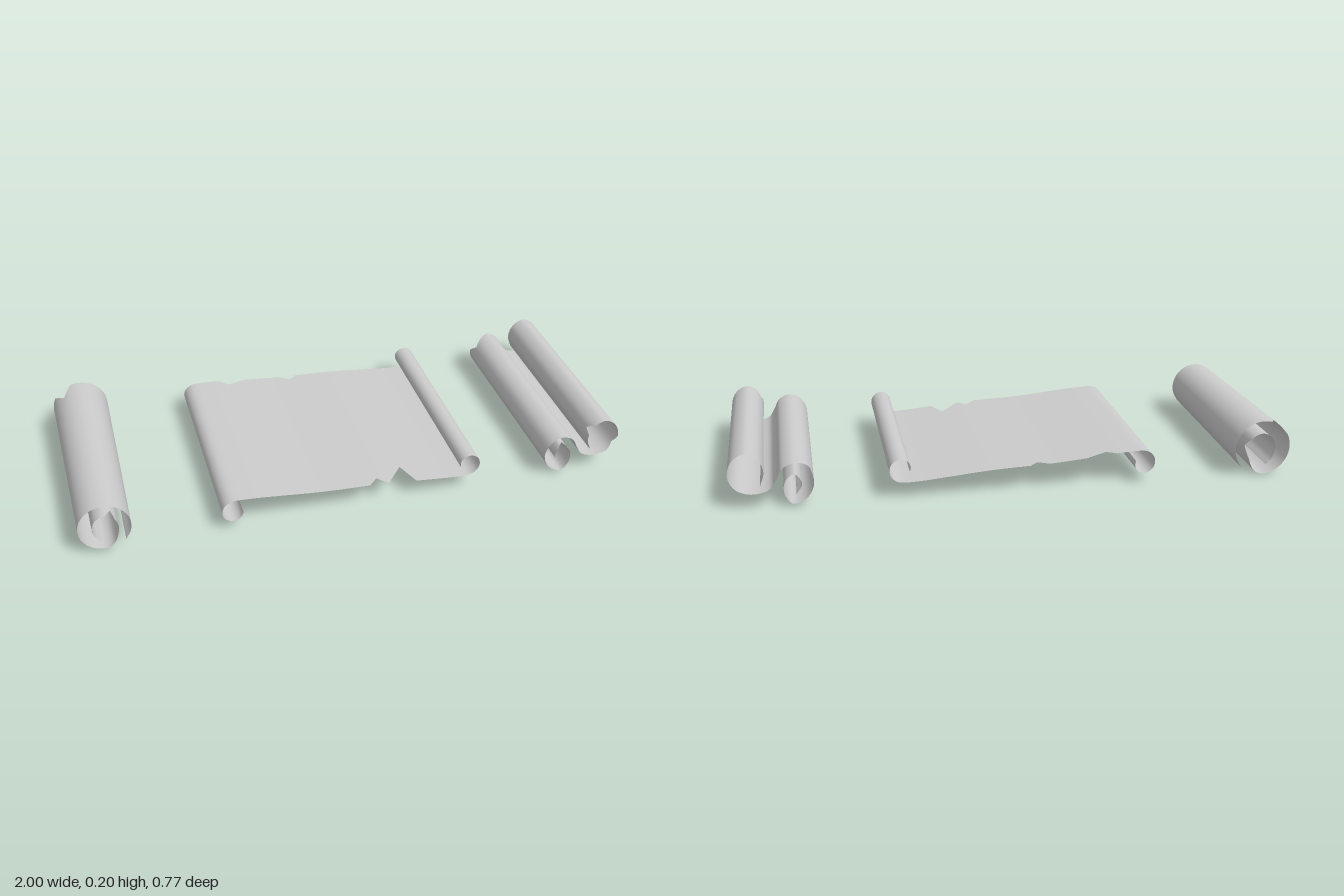
import * as THREE from 'three';

const material = new THREE.MeshStandardMaterial({ color: 0xcccccc, side: THREE.DoubleSide });
const HALF = 0.385; // half the paper width along z

// Sweeps a cross-section curve (x, y) along z into a thin paper sheet.
// Tears are [x, y, widthBefore, widthAfter, depth] and bite into the front or back edge.
// taper scales the section about its centre, from front to back.
function paper(name, points, { front = [], back = [], taper = null, samples = 120 } = {}) {
  const curve = new THREE.CatmullRomCurve3(points.map(([x, y]) => new THREE.Vector3(x, y, 0)), false, 'centripetal');
  curve.arcLengthDivisions = 800;
  const length = curve.getLength();

  // Locate each tear on the curve, in arc length
  const locate = ([x, y, before, after, depth]) => {
    const target = new THREE.Vector3(x, y, 0);
    let best = 0, bestDistance = Infinity;
    for (let i = 0; i <= 600; i++) {
      const d = curve.getPointAt(i / 600).distanceTo(target);
      if (d < bestDistance) { bestDistance = d; best = (i / 600) * length; }
    }
    return { s: best, before, after, depth };
  };
  const frontTears = front.map(locate), backTears = back.map(locate);
  const biteAt = (tears, s) => tears.reduce((bite, t) => {
    const k = s < t.s ? (t.s - s) / t.before : (s - t.s) / t.after;
    return Math.max(bite, t.depth * (1 - k));
  }, 0);

  // Regular stations plus the exact corners of the tears
  const stations = Array.from({ length: samples + 1 }, (_, i) => (i / samples) * length);
  for (const t of [...frontTears, ...backTears]) stations.push(t.s - t.before, t.s, t.s + t.after);
  const sorted = stations.filter((s) => s >= 0 && s <= length).sort((a, b) => a - b)
    .filter((s, i, all) => i === 0 || s - all[i - 1] > 1e-6);

  const rows = 6, positions = [], normals = [], index = [];
  sorted.forEach((s, i) => {
    const p = curve.getPointAt(s / length), tangent = curve.getTangentAt(s / length);
    const z0 = HALF - biteAt(frontTears, s), z1 = -HALF + biteAt(backTears, s);
    for (let j = 0; j <= rows; j++) {
      const z = THREE.MathUtils.lerp(z0, z1, j / rows);
      let { x, y } = p;
      if (taper) {
        const k = THREE.MathUtils.mapLinear(z, HALF, -HALF, taper.front, taper.back);
        x = taper.x + (x - taper.x) * k;
        y = taper.y + (y - taper.y) * k;
      }
      positions.push(x, y, z);
      normals.push(-tangent.y, tangent.x, 0);
      if (i > 0 && j > 0) {
        const a = (i - 1) * (rows + 1) + j - 1, b = a + rows + 1;
        index.push(a, b, b + 1, a, b + 1, a + 1);
      }
    }
  });
  const geometry = new THREE.BufferGeometry();
  geometry.setAttribute('position', new THREE.Float32BufferAttribute(positions, 3));
  geometry.setAttribute('normal', new THREE.Float32BufferAttribute(normals, 3));
  geometry.setIndex(index);
  const mesh = new THREE.Mesh(geometry, material);
  mesh.name = name;
  return mesh;
}

// Points on an arc or spiral, angles in degrees
function arc(cx, cy, r0, r1, from, to, steps) {
  return Array.from({ length: steps + 1 }, (_, i) => {
    const a = THREE.MathUtils.degToRad(from + ((to - from) * i) / steps);
    const r = r0 + ((r1 - r0) * i) / steps;
    return [cx + r * Math.cos(a), cy + r * Math.sin(a)];
  });
}

export function createModel() {
  const group = new THREE.Group();
  group.name = 'paperScrolls';

  // Tightly rolled scroll, slightly wider at the back
  const core = [[0.3, -0.86], [0.52, -0.4], [0.55, 0.1], [0.35, 0.45], [0, 0.56],
    [-0.33, 0.37], [-0.47, -0.03], [-0.36, -0.4], [-0.14, -0.65]];
  const rolled = [
    ...arc(0, 0, 1.06, 1, -42, 270, 14),
    ...core,
  ].map(([x, y]) => [-0.9 + x, 0.1 + y]);
  group.add(paper('rolledScroll', rolled.map(([x, y]) => [-0.9 + (x + 0.9) * 0.1, 0.1 + (y - 0.1) * 0.1]), {
    taper: { x: -0.9, y: 0.1, front: 0.88, back: 0.99 },
    front: [[-0.87, 0.145, 0.02, 0.025, 0.035]],
    back: [[-0.957, 0.182, 0.035, 0.05, 0.06], [-0.85, 0.1, 0.04, 0.04, 0.04]],
  }));

  // Open sheet: left edge curls under, right edge curls over
  const curl = arc(0.412, 0.108, 0.048, 0.03, -90, 200, 12);
  const half = [[0.1, 0.084], [0.25, 0.07], [0.34, 0.062], ...curl];
  const mirrored = half.map(([x, y]) => [-0.04 - x, 0.18 - y]).reverse();
  group.add(paper('openSheet', [...mirrored, ...half], {
    samples: 160,
    front: [[0.075, 0.086, 0.035, 0.035, 0.037], [0.18, 0.077, 0.07, 0.035, 0.09]],
    back: [[-0.32, 0.113, 0.035, 0.075, 0.03], [-0.07, 0.095, 0.04, 0.03, 0.027]],
  }));

  // Scroll rolled from both ends: lower left roll runs under the upper right roll
  const doubleRoll = [
    [0.772, 0.045], [0.752, 0.08], [0.775, 0.117], [0.807, 0.095], [0.813, 0.05],
    [0.785, 0.01], [0.738, 0.027], [0.711, 0.082], [0.733, 0.137], [0.778, 0.156],
    [0.818, 0.138], [0.838, 0.1], [0.86, 0.068], [0.92, 0.053], [0.975, 0.073],
    [1, 0.125], [0.98, 0.178], [0.937, 0.2], [0.895, 0.177], [0.878, 0.13], [0.892, 0.082],
  ];
  group.add(paper('doubleScroll', doubleRoll, {
    front: [[0.988, 0.088, 0.035, 0.035, 0.018], [0.885, 0.16, 0.03, 0.015, 0.037],
      [0.79, 0.114, 0.03, 0.03, 0.03]],
    back: [[0.722, 0.122, 0.035, 0.065, 0.04]],
  }));

  return group;
}
